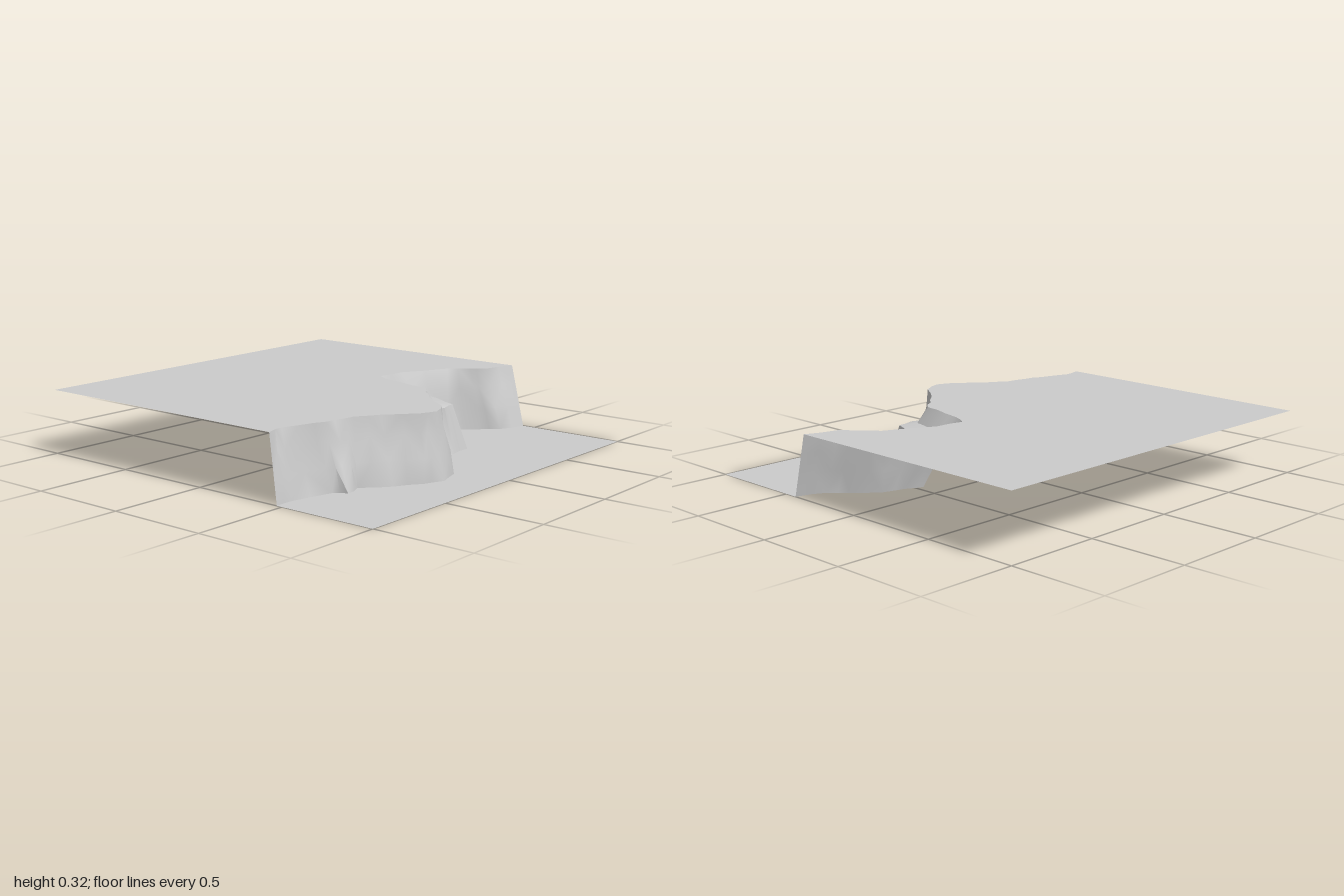
import * as THREE from 'three';
import { toCreasedNormals } from 'three/addons/utils/BufferGeometryUtils.js';

const HIGH = 0.32, LEDGE = 0.23;

// Cliff stations from left to right: rim x, z and foot x, z
const stations = [
  [-1, .43, -1, .47], [-.9, .41, -.9, .47], [-.74, .46, -.69, .52], [-.64, .49, -.65, .58],
  [-.53, .51, -.55, .55], [-.42, .58, -.43, .66], [-.28, .7, -.3, .74], [-.2, .73, -.2, .78],
  [-.08, .67, -.07, .74], [.03, .52, .05, .59], [.13, .42, .18, .5], [.18, .39, .25, .51],
  [.21, .35, .38, .5], [.24, .2, .48, .35], [.26, .1, .5, .2], [.31, 0, .46, .12],
  [.46, .02, .55, .16], [.7, .14, .66, .19], [.78, .23, .78, .3], [.84, .3, .86, .38],
  [1, .35, 1, .43],
];
const FIRST_LEDGE = 11, LAST_LEDGE = 14;

// Small repeatable roughness for the rock face
function rough(n) {
  const s = Math.sin(n * 12.9898) * 43758.5453;
  return (s - Math.floor(s) - 0.5) * 0.02;
}

// Add a roughened station halfway between each neighbouring pair
function subdivide(list) {
  return list.flatMap((s, i) => {
    if (i === list.length - 1) return [s];
    const half = s.map((v, k) => (v + list[i + 1][k]) / 2 + rough(i * 4 + k + 1));
    return [s, half];
  });
}

// Four points down the rock; along the ledge the middle two form a shelf
function crossSection([rimX, rimZ, footX, footZ], i, all) {
  const onLedge = i >= FIRST_LEDGE * 2 && i <= LAST_LEDGE * 2;
  const jitter = onLedge || i === 0 || i === all.length - 1 ? 0 : 1;
  const point = (t, y) => [
    THREE.MathUtils.lerp(rimX, footX, t) + jitter * rough(i + 100 * t),
    y,
    THREE.MathUtils.lerp(rimZ, footZ, t) + jitter * rough(i + 200 * t),
  ];
  const middle = onLedge
    ? [point(0.25, LEDGE + 0.01), point(0.65, LEDGE)]
    : [point(0.3, HIGH * 0.7), point(0.65, HIGH * 0.35)];
  return [[rimX, HIGH, rimZ], ...middle, [footX, 0, footZ]];
}

// Flat ground between a cliff line and a straight edge at z = edgeZ
function ground(name, line, edgeZ, y, material) {
  const outline = [...line, [1, edgeZ], [-1, edgeZ]].map(([x, z]) => new THREE.Vector2(x, -z));
  const geometry = new THREE.ShapeGeometry(new THREE.Shape(outline));
  geometry.rotateX(-Math.PI / 2).translate(0, y, 0);
  const mesh = new THREE.Mesh(geometry, material);
  mesh.name = name;
  return mesh;
}

function cliffGeometry(line) {
  const rows = line.map(crossSection);
  const positions = [];
  for (let i = 0; i < rows.length - 1; i++) {
    for (let j = 0; j < 3; j++) {
      const a = rows[i][j], b = rows[i][j + 1], c = rows[i + 1][j + 1], d = rows[i + 1][j];
      // Alternate the diagonals for a broken rock surface
      const corners = i % 2 ? [a, b, c, a, c, d] : [a, b, d, b, c, d];
      positions.push(...corners.flat());
    }
  }
  const geometry = new THREE.BufferGeometry();
  geometry.setAttribute('position', new THREE.Float32BufferAttribute(positions, 3));
  return toCreasedNormals(geometry, 0.7);
}

export function createModel() {
  const group = new THREE.Group();
  group.name = 'cliffTerrain';
  const material = new THREE.MeshStandardMaterial({ color: 0xcccccc, side: THREE.DoubleSide });
  const line = subdivide(stations);

  // Upper plateau behind the rim, lower ground in front of the foot
  group.add(ground('plateau', line.map((s) => s.slice(0, 2)), -1, HIGH, material));
  group.add(ground('lowerGround', line.map((s) => s.slice(2)), 1, 0, material));

  // Rock face with its ledge
  const cliff = new THREE.Mesh(cliffGeometry(line), material);
  cliff.name = 'cliffFace';
  group.add(cliff);
  return group;
}
